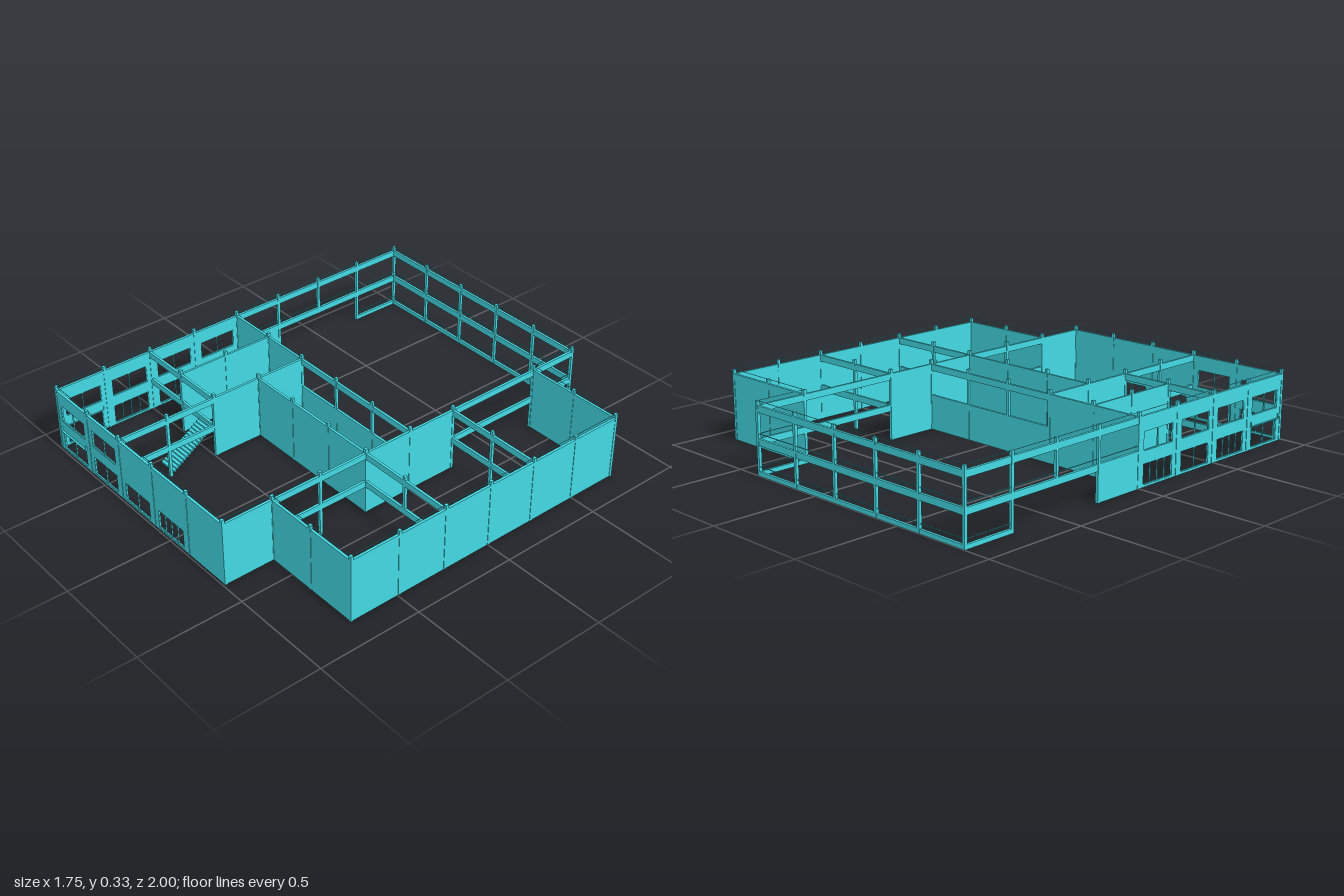
import * as THREE from 'three';

const teal = new THREE.MeshStandardMaterial({ color: 0x43dae4, flatShading: true });
const TOP = 0.31, MID = 0.165, SEAM = 0.15;

// Structural grid lines
const BAY = 0.2475;
const X = Array.from({ length: 8 }, (_, i) => -0.866 + i * BAY);
const Z = Array.from({ length: 9 }, (_, i) => -0.994 + i * BAY);

export function createModel() {
  const model = new THREE.Group();
  model.name = 'buildingShell';

  function box(parent, name, w, h, d, x, y, z) {
    const mesh = new THREE.Mesh(new THREE.BoxGeometry(w, h, d), teal);
    mesh.name = name;
    mesh.position.set(x, y, z);
    parent.add(mesh);
  }

  // A run along x or z: its local x axis is the distance along the run
  function run(name, axis, at) {
    const g = new THREE.Group();
    g.name = name;
    if (axis === 'x') g.position.z = at;
    else {
      g.position.x = at;
      g.rotation.y = -Math.PI / 2;
    }
    model.add(g);
    return g;
  }

  function bar(g, name, a, b, y0, y1, t) {
    box(g, name, b - a, y1 - y0, t, (a + b) / 2, (y0 + y1) / 2, 0);
  }

  // Flat wall panel with rectangular openings [u0, u1, y0, y1, panes]
  function panel(g, a, b, y0, y1, openings = []) {
    const t = 0.01;
    const s = new THREE.Shape();
    s.moveTo(a, y0).lineTo(b, y0).lineTo(b, y1).lineTo(a, y1).closePath();
    for (const [u0, u1, v0, v1] of openings) {
      const h = new THREE.Path();
      h.moveTo(u0, v0).lineTo(u0, v1).lineTo(u1, v1).lineTo(u1, v0).closePath();
      s.holes.push(h);
    }
    const geo = new THREE.ExtrudeGeometry(s, { depth: t, bevelEnabled: false });
    geo.translate(0, 0, -t / 2);
    const mesh = new THREE.Mesh(geo, teal);
    mesh.name = 'wallPanel';
    g.add(mesh);
    // Window frames and mullions
    for (const [u0, u1, v0, v1, panes] of openings) {
      for (let i = 0; i <= panes; i++) {
        const u = u0 + (u1 - u0) * i / panes;
        bar(g, 'mullion', u - 0.002, u + 0.002, v0, v1, 0.006);
      }
      bar(g, 'windowHead', u0, u1, v1 - 0.003, v1, 0.006);
      bar(g, 'windowSill', u0, u1, v0, v0 + 0.003, 0.006);
    }
  }

  function topBeam(g, a, b) { bar(g, 'topBeam', a, b, 0.28, TOP, 0.012); }
  function parapet(g, a, b) { bar(g, 'parapetRail', a, b, 0.328, 0.33, 0.002); }

  // Solid wall: one panel per storey under a top beam
  function solid(name, axis, at, a, b, outer, openings = []) {
    const g = run(name, axis, at);
    panel(g, a, b, 0, SEAM, openings.filter(o => o[3] < SEAM));
    panel(g, a, b, SEAM, TOP, openings.filter(o => o[3] > SEAM));
    topBeam(g, a, b);
    if (outer) parapet(g, a, b);
  }

  // Open frame: beams at each level with low guard rails
  function frame(name, axis, at, a, b, outer, ground) {
    const g = run(name, axis, at);
    topBeam(g, a, b);
    bar(g, 'floorBeam', a, b, 0.135, MID, 0.012);
    if (outer) {
      parapet(g, a, b);
      bar(g, 'guardRail', a, b, 0.184, 0.187, 0.003);
    }
    if (ground) {
      bar(g, 'groundBeam', a, b, 0, 0.02, 0.012);
      bar(g, 'guardRail', a, b, 0.039, 0.042, 0.003);
    }
    return g;
  }

  // Front wall with windows on both floors and a four-pane entrance
  solid('frontWall', 'x', Z[8], X[0], X[5], true, [
    [-0.835, -0.65, 0.158, 0.243, 2], [-0.585, -0.405, 0.158, 0.243, 2],
    [-0.835, -0.65, 0.01, 0.103, 2], [-0.585, -0.405, 0.01, 0.103, 2],
    [-0.338, -0.157, 0.01, 0.103, 2], [-0.09, 0.09, 0.01, 0.103, 4],
  ]);

  // Glazed side wall, one window per bay and floor
  const sideWindows = [];
  for (let i = 0; i < 4; i++) {
    const z = Z[4 + i] + 0.03;
    sideWindows.push([z, z + 0.185, 0.01, 0.103, i % 2 ? 2 : 4]);
    sideWindows.push([z, z + 0.185, 0.158, 0.243, 2]);
  }
  solid('glazedSideWall', 'z', X[0], Z[4], Z[8], true, sideWindows);

  // Closed outer walls of the side wing and its corners
  solid('frontReturnWall', 'z', X[5], Z[7], Z[8], true);
  solid('wingFrontWall', 'x', Z[7], X[5], X[7], true);
  solid('wingSideWall', 'z', X[7], Z[1], Z[7], true);
  solid('wingBackWall', 'x', Z[1], X[5], X[7], true);

  // Open frames round the rear yard
  frame('backFrame', 'x', Z[0], X[0], X[5], true, true);
  frame('backReturnFrame', 'z', X[5], Z[0], Z[1], true, true);
  frame('rearSideFrame', 'z', X[0], Z[0], Z[1], true, true);
  const yardSide = frame('yardGateFrame', 'z', X[0], Z[1], Z[4], true, false);
  panel(yardSide, Z[3], Z[4], 0, MID);

  // Interior walls
  solid('rearInnerWall', 'x', Z[4], X[0], X[2], false);
  solid('corridorWall', 'x', Z[5], X[2], X[5], false);
  solid('stairSideWall', 'z', X[2], Z[4], Z[6], false);
  solid('hallWall', 'z', X[5], Z[3], Z[5], false);
  panel(run('partition', 'z', X[1]), Z[4], Z[6], 0, TOP);
  const half = frame('halfHeightWall', 'x', Z[4], X[2], X[5], false, false);
  panel(half, X[2], X[5], 0, MID);

  // Interior open frames
  frame('officeFrame', 'x', Z[6], X[0], X[2], false, false);
  frame('wingCrossFrame', 'x', Z[3], X[5], X[7], false, false);
  frame('wingMiddleFrame', 'x', Z[5], X[5], X[7], false, false);
  frame('wingInnerFrame', 'z', X[5], Z[1], Z[3], false, false);
  frame('hallFrame', 'z', X[5], Z[5], Z[7], false, false);
  frame('lobbyFrame', 'z', X[2], Z[6], Z[8], false, false);

  // Columns on the grid: [x, z, base height]
  const columns = [];
  for (let i = 0; i < 6; i++) {
    columns.push([X[i], Z[0], 0], [X[i], Z[8], 0], [X[i], Z[4], 0]);
    if (i > 1) columns.push([X[i], Z[5], 0]);
  }
  for (let i = 1; i < 8; i++) {
    columns.push([X[0], Z[i], i === 2 ? 0.135 : 0], [X[7], Z[i], 0]);
    if (i !== 2 && i !== 4 && i !== 5) columns.push([X[5], Z[i], 0]);
  }
  for (const i of [1, 3, 7]) columns.push([X[6], Z[i], 0]);
  columns.push([X[6], Z[5], 0.135]);
  columns.push([X[1], Z[6], 0], [X[2], Z[6], 0], [X[2], Z[7], 0], [X[1], Z[5], 0]);
  for (const [x, z, y0] of columns) {
    box(model, 'column', 0.014, 0.33 - y0, 0.014, x, (0.33 + y0) / 2, z);
  }

  // Staircase rising towards the rear
  const stairs = new THREE.Group();
  stairs.name = 'staircase';
  const steps = 16, depth = 0.225 / steps, rise = SEAM / steps;
  for (let i = 0; i < steps; i++) {
    box(stairs, 'step', 0.097, rise, depth, -0.433, rise * (i + 0.5), 0.715 - depth * (i + 0.5));
  }
  model.add(stairs);

  // Shallow canopies on both sides of the glazed corner
  function canopy(name, axis, at, a, b) {
    const g = run(name, axis, at);
    bar(g, 'canopyPlate', a, b, 0.105, 0.109, 0.018);
    for (const u of [a, b - 0.004]) bar(g, 'canopyEnd', u, u + 0.004, 0.105, 0.128, 0.018);
  }
  canopy('frontCanopy', 'x', 0.991, -0.845, -0.64);
  canopy('sideCanopy', 'z', -0.867, 0.76, 0.965);

  return model;
}
